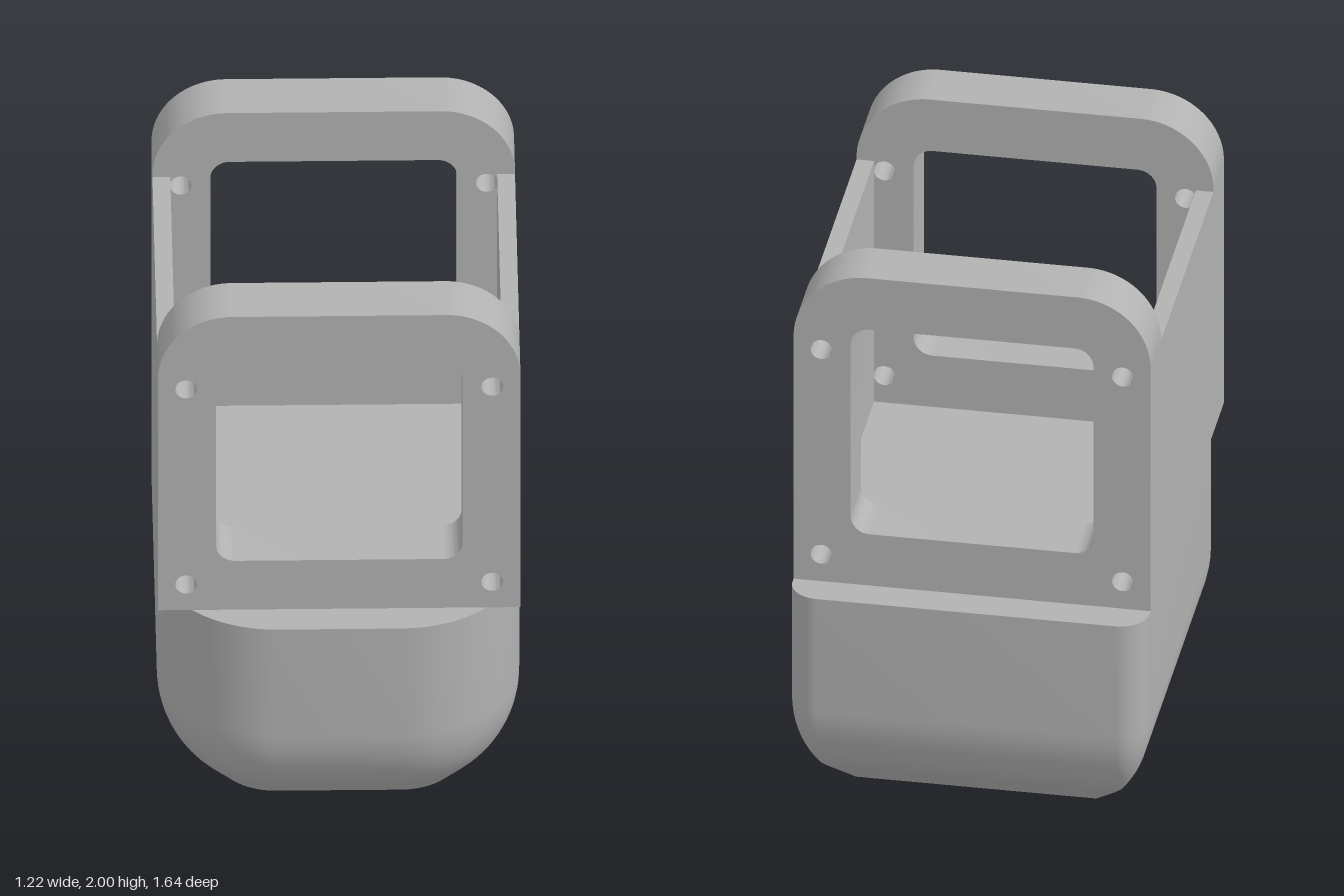
import * as THREE from 'three';
import { toCreasedNormals } from 'three/addons/utils/BufferGeometryUtils.js';

const HALF_W = 0.61, HALF_D = 0.82, BASE_TOP = 0.8;
const FRAME_Z = 0.5, FRAME_T = 0.2;

// Outline of the base at a given inset: wide rounding at the front, tight at the back
function baseLoop(inset, y) {
  const pts = [], steps = 16;
  const corners = [[1, 1, 0.4], [-1, 1, 0.4], [-1, -1, 0.1], [1, -1, 0.1]];
  corners.forEach(([sx, sz, radius], k) => {
    const r = Math.max(radius - inset, 0);
    const cx = sx * (HALF_W - inset - r), cz = sz * (HALF_D - inset - r);
    for (let i = 0; i <= steps; i++) {
      const a = (k + i / steps) * Math.PI / 2;
      pts.push([cx + r * Math.cos(a), y, cz + r * Math.sin(a)]);
    }
  });
  return pts;
}

// Solid base lofted from inset outlines, chamfered and rounded towards the bottom
function baseGeometry() {
  const profile = [[0.2, 0]], arcSteps = 10, r = 0.4;
  for (let i = 0; i <= arcSteps; i++) {
    const t = (1 - i / arcSteps) * Math.PI / 4;
    profile.push([r - r * Math.cos(t), 0.366 - r * Math.sin(t)]);
  }
  profile.push([0, BASE_TOP]);

  const loops = profile.map(([inset, y]) => baseLoop(inset, y));
  const n = loops[0].length, index = [];
  const positions = loops.flat(2);
  positions.push(0, 0, 0, 0, BASE_TOP, 0);
  const bottom = loops.length * n, top = bottom + 1, last = (loops.length - 1) * n;
  for (let i = 0; i < n; i++) {
    const j = (i + 1) % n;
    for (let k = 0; k < loops.length - 1; k++) {
      const a = k * n + i, b = k * n + j;
      index.push(a, a + n, b, b, a + n, b + n);
    }
    index.push(bottom, i, j, top, last + j, last + i);
  }
  const g = new THREE.BufferGeometry();
  g.setAttribute('position', new THREE.Float32BufferAttribute(positions, 3));
  g.setIndex(index);
  return toCreasedNormals(g, 0.5);
}

// Rectangle path with separate rounding for the bottom and top corners
function roundedRect(path, w, y0, y1, rBottom, rTop) {
  path.moveTo(-w + rBottom, y0);
  path.lineTo(w - rBottom, y0);
  if (rBottom) path.absarc(w - rBottom, y0 + rBottom, rBottom, -Math.PI / 2, 0);
  path.lineTo(w, y1 - rTop);
  path.absarc(w - rTop, y1 - rTop, rTop, 0, Math.PI / 2);
  path.lineTo(-w + rTop, y1);
  path.absarc(-w + rTop, y1 - rTop, rTop, Math.PI / 2, Math.PI);
  path.lineTo(-w, y0 + rBottom);
  if (rBottom) path.absarc(-w + rBottom, y0 + rBottom, rBottom, Math.PI, Math.PI * 1.5);
  return path;
}

// End frame with a window and four screw holes
function frameGeometry() {
  const shape = roundedRect(new THREE.Shape(), HALF_W, BASE_TOP, 2, 0, 0.25);
  shape.holes.push(roundedRect(new THREE.Path(), 0.415, 1.0, 1.8, 0.065, 0.065));
  for (const x of [-0.515, 0.515]) {
    for (const y of [0.905, 1.705]) {
      shape.holes.push(new THREE.Path().absarc(x, y, 0.037, 0, Math.PI * 2, true));
    }
  }
  const g = new THREE.ExtrudeGeometry(shape, { depth: FRAME_T, bevelEnabled: false, curveSegments: 14 });
  return toCreasedNormals(g, 0.5);
}

export function createModel() {
  const model = new THREE.Group();
  model.name = 'housing';
  const grey = new THREE.MeshStandardMaterial({ color: 0xb2b2b2 });
  grey.name = 'plain grey';

  const add = (name, geometry, x = 0, y = 0, z = 0) => {
    const mesh = new THREE.Mesh(geometry, grey);
    mesh.name = name;
    mesh.position.set(x, y, z);
    model.add(mesh);
  };

  add('base', baseGeometry());

  // End frames
  const frame = frameGeometry();
  add('frontFrame', frame, 0, 0, FRAME_Z);
  add('backFrame', frame, 0, 0, -FRAME_Z - FRAME_T);

  // Side walls joining the frames
  const wallT = 0.06, wallH = 1.74 - BASE_TOP;
  const wall = new THREE.BoxGeometry(wallT, wallH, FRAME_Z * 2);
  for (const [name, s] of [['leftWall', 1], ['rightWall', -1]]) {
    add(name, wall, s * (HALF_W - wallT / 2), BASE_TOP + wallH / 2, 0);
  }
  return model;
}
